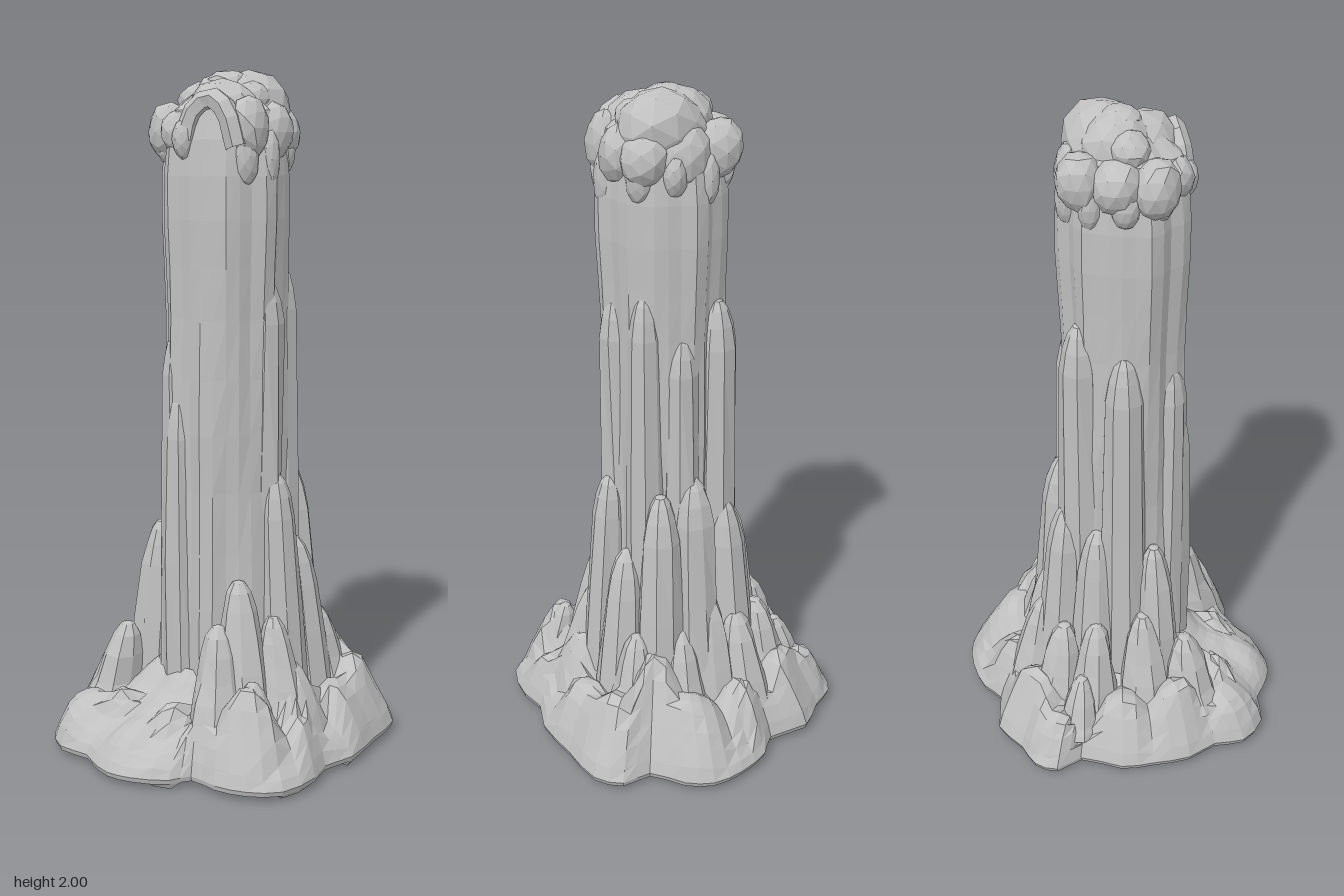
import * as THREE from 'three';

const stone = new THREE.MeshStandardMaterial({ color: 0xc0c0c0, flatShading: true, side: THREE.DoubleSide });
stone.name = 'pale grey stone';

// Smooth repeatable wobble in -1..1
const wobble = (x, y, z) => (Math.sin(x * 23 + y * 3 + 1) + Math.sin(z * 27 - y * 4 + 2) + Math.sin((x - z) * 17 + y * 7)) / 3;

// Skin stacked rings of points, each running from +x towards +z
function loft(rings) {
  const n = rings[0].length, pos = [], idx = [];
  rings.forEach(r => r.forEach(p => pos.push(...p)));
  for (let i = 0; i < rings.length - 1; i++) {
    for (let j = 0; j < n; j++) {
      const a = i * n + j, b = i * n + (j + 1) % n;
      idx.push(a, a + n, b, b, a + n, b + n);
    }
  }
  const g = new THREE.BufferGeometry();
  g.setAttribute('position', new THREE.Float32BufferAttribute(pos, 3));
  g.setIndex(idx);
  g.computeVertexNormals();
  return g;
}

// Move every vertex by a rule
function warp(g, rule) {
  const p = g.attributes.position, v = new THREE.Vector3();
  for (let i = 0; i < p.count; i++) {
    rule(v.fromBufferAttribute(p, i));
    p.setXYZ(i, v.x, v.y, v.z);
  }
  g.computeVertexNormals();
  return g;
}

export function createModel() {
  const model = new THREE.Group();
  model.name = 'stalagmite';
  const add = (name, g, parent = model) => {
    const m = new THREE.Mesh(g, stone);
    m.name = name;
    parent.add(m);
  };
  const section = name => {
    const g = new THREE.Group();
    g.name = name;
    model.add(g);
    return g;
  };
  const CX = 0.023, CZ = 0.015;

  // Fluted column: [height, radius]
  const columnProfile = [[0.18, 0.19], [0.3, 0.19], [0.45, 0.188], [0.62, 0.182], [0.8, 0.178], [0.97, 0.18], [1.13, 0.177],
    [1.3, 0.175], [1.45, 0.178], [1.58, 0.182], [1.7, 0.18], [1.8, 0.17], [1.88, 0.15], [1.93, 0.09], [1.94, 0]];
  const columnRings = columnProfile.map(([y, r]) => Array.from({ length: 30 }, (_, j) => {
    const a = j / 30 * Math.PI * 2;
    const k = r * (1 + 0.035 * Math.sin(7 * a + 0.6 * y) + 0.035 * Math.sin(10 * a + 1.5 + Math.sin(y * 3)) + 0.02 * Math.sin(3 * a + 4 * y));
    return [CX + k * Math.cos(a), y, CZ + k * Math.sin(a)];
  }));
  add('column', loft(columnRings));

  // Lobed rim of the foot
  const rim = new THREE.CatmullRomCurve3([[0.46, -0.05], [0.44, 0.05], [0.465, 0.13], [0.455, 0.26], [0.38, 0.33], [0.29, 0.36], [0.2, 0.36], [0.17, 0.42],
    [0.08, 0.48], [0, 0.5], [-0.08, 0.48], [-0.13, 0.46], [-0.23, 0.47], [-0.32, 0.41], [-0.34, 0.32], [-0.4, 0.24],
    [-0.43, 0.13], [-0.45, 0.03], [-0.42, -0.1], [-0.47, -0.17], [-0.45, -0.24], [-0.38, -0.29], [-0.3, -0.37], [-0.17, -0.38],
    [-0.12, -0.44], [-0.02, -0.49], [0.08, -0.505], [0.16, -0.47], [0.24, -0.39], [0.33, -0.4], [0.4, -0.34], [0.43, -0.2]]
    .map(([x, z]) => new THREE.Vector3(x, 0, z)), true).getPoints(64).slice(0, 64);

  // Swollen mounds rising from the foot: x, z, radius, height
  const mounds = [[0.1, -0.34, 0.17, 0.24], [0.17, -0.25, 0.14, 0.35], [0.3, -0.26, 0.14, 0.25], [0.34, -0.12, 0.12, 0.22],
    [-0.27, -0.25, 0.15, 0.25], [-0.37, -0.17, 0.1, 0.18], [-0.08, -0.31, 0.13, 0.23], [-0.33, 0.03, 0.13, 0.23],
    [-0.29, 0.19, 0.13, 0.25], [-0.22, 0.34, 0.14, 0.17], [-0.12, 0.31, 0.09, 0.2], [0, 0.37, 0.13, 0.15], [0.08, 0.3, 0.09, 0.21],
    [0.3, 0.23, 0.13, 0.28], [0.37, 0.1, 0.12, 0.18], [0.2, 0.28, 0.1, 0.21], [0.29, 0.03, 0.12, 0.3]];

  // Spreading foot, open underneath
  const footProfile = [[0, 0.965], [0.015, 0.99], [0.03, 1], [0.055, 0.97], [0.08, 0.92], [0.1, 0.87], [0.12, 0.81], [0.135, 0.75], [0.15, 0.69],
    [0.165, 0.63], [0.18, 0.57], [0.2, 0.51], [0.23, 0.45], [0.26, 0.39]];
  add('foot', loft(footProfile.map(([y, s]) => rim.map(p => {
    const x = p.x * s + CX * (1 - s), z = p.z * s + CZ * (1 - s);
    if (s > 0.98) return [x, y, z];
    const domes = mounds.map(([mx, mz, r, h]) => h * Math.max(0, 1 - ((x - mx) ** 2 + (z - mz) ** 2) / (r * r)) ** 0.75);
    const top = Math.max(y, Math.min(Math.max(...domes), 0.04 + (1 - s) * 1.0));
    return [x, top + 0.008 * wobble(x * 2, 0, z * 2), z];
  }))));

  // Blunt spire leaning on the column: top position, height, radius, outward spread at its root
  const spires = section('spires');
  function spire(x, z, h, r, spread = 0.04) {
    const d = Math.hypot(x - CX, z - CZ), ux = (x - CX) / d, uz = (z - CZ) / d;
    const root = Math.max(0.06, 0.2 - 0.6 * (d - 0.17)), len = h - root;
    const f = q => root + Math.max(len - q * r, len * 0.35 / (q + 0.5));
    const pts = [[1.4, root], [1.25, root + (f(2.6) - root) * 0.5], [1.05, f(2.6)], [0.86, f(1.4)], [0.6, f(0.55)], [0.3, f(0.1)], [0, h]]
      .map(([k, y]) => new THREE.Vector2(k * r, y));
    add('spire', warp(new THREE.LatheGeometry(pts, 8, x * 9), v => {
      const s = spread * (h - v.y) / len, w = 1 + 0.14 * wobble(v.x * 4 + x * 9, v.y, v.z * 4 + z * 9);
      v.set(x + v.x * w + ux * s, v.y, z + v.z * w + uz * s);
    }), spires);
  }
  // Tall ribs against the column
  [[-0.14, 0.02, 1.33, 0.055, 0.01], [-0.05, 0.15, 1.25, 0.045, -0.01], [-0.02, 0.165, 1.08, 0.05, -0.01], [0.17, 0.01, 1.42, 0.052, -0.03],
    [0.13, -0.105, 1.44, 0.048, 0], [0.03, -0.14, 1.32, 0.045, 0], [-0.09, -0.11, 1.4, 0.055, 0]].forEach(a => spire(...a));
  // Middle spires
  [[0.2, 0.0, 0.85, 0.05], [0.11, -0.17, 0.84, 0.055], [0.01, -0.175, 0.88, 0.055], [-0.1, -0.15, 0.78, 0.055], [-0.145, -0.06, 0.72, 0.055],
    [-0.15, 0.11, 0.67, 0.052], [0.175, 0.13, 0.55, 0.06], [0.19, -0.1, 0.64, 0.055], [-0.02, -0.21, 0.5, 0.055]].forEach(a => spire(...a));
  // Short stubby spires around the foot
  [[-0.21, 0.08, 0.45, 0.058], [-0.2, 0.21, 0.36, 0.07], [0.16, 0.2, 0.43, 0.06], [0.24, 0.05, 0.44, 0.055], [0.29, 0.2, 0.29, 0.055],
    [-0.23, -0.06, 0.42, 0.058], [-0.21, -0.16, 0.4, 0.062], [-0.31, -0.1, 0.27, 0.055], [0.2, -0.2, 0.4, 0.06],
    [0.07, -0.23, 0.4, 0.058], [-0.11, -0.23, 0.42, 0.058]].forEach(a => spire(...a));

  // Rounded lump: centre, half sizes
  function lump(name, parent, x, y, z, sx, sy, sz) {
    add(name, warp(new THREE.IcosahedronGeometry(1, 1), v => {
      const w = 1 + 0.09 * wobble(v.x * 0.15 + x * 5, v.y * 0.5 + y, v.z * 0.15 + z * 5);
      v.set(x + v.x * sx * w, y + v.y * sy * w, z + v.z * sz * w);
    }), parent);
  }

  // Crown of the cap, then the swollen lobes around its rim
  const cap = section('cap');
  [[0.05, 1.88, -0.05, 0.13, 0.115, 0.11], [-0.01, 1.89, -0.01, 0.1, 0.1, 0.1], [0.05, 1.88, 0.06, 0.12, 0.085, 0.1],
    [0.11, 1.91, 0.0, 0.055, 0.05, 0.055], [-0.07, 1.91, 0.03, 0.06, 0.05, 0.055], [0.02, 1.955, 0.0, 0.065, 0.04, 0.06]]
    .forEach(a => lump('cap crown', cap, ...a));
  [[-0.11, 1.82, 0.1, 0.075, 0.085, 0.07], [-0.125, 1.83, 0.0, 0.065, 0.075, 0.07], [-0.09, 1.83, -0.1, 0.075, 0.085, 0.065],
    [0.02, 1.82, -0.12, 0.08, 0.09, 0.055], [0.12, 1.82, -0.1, 0.07, 0.08, 0.065], [0.165, 1.82, -0.02, 0.055, 0.08, 0.065],
    [0.165, 1.83, 0.08, 0.055, 0.09, 0.06], [-0.03, 1.82, 0.15, 0.06, 0.065, 0.05], [0.01, 1.8, 0.18, 0.032, 0.055, 0.03]]
    .forEach(a => lump('cap lobe', cap, ...a));

  // Folded arch over the front of the cap
  const arch = new THREE.CatmullRomCurve3([[0.015, 1.8, 0.17], [0.03, 1.87, 0.16], [0.08, 1.91, 0.14], [0.135, 1.88, 0.14], [0.165, 1.78, 0.13]]
    .map(p => new THREE.Vector3(...p)));
  add('cap arch', new THREE.TubeGeometry(arch, 8, 0.032, 6), cap);

  // Drips hanging below the cap: angle, lowest height, radius
  const drips = section('drips');
  [[0.05, 1.65, 0.034], [0.5, 1.67, 0.036], [2.5, 1.73, 0.035], [3.1, 1.72, 0.038],
    [3.7, 1.7, 0.034], [4.3, 1.68, 0.036], [4.9, 1.72, 0.034], [5.5, 1.7, 0.036]].forEach(([a, y, r]) => {
    const h = (1.84 - y) / 2;
    lump('drip', drips, CX + 0.165 * Math.cos(a), y + h, CZ + 0.165 * Math.sin(a), r, h, r);
  });

  return model;
}
